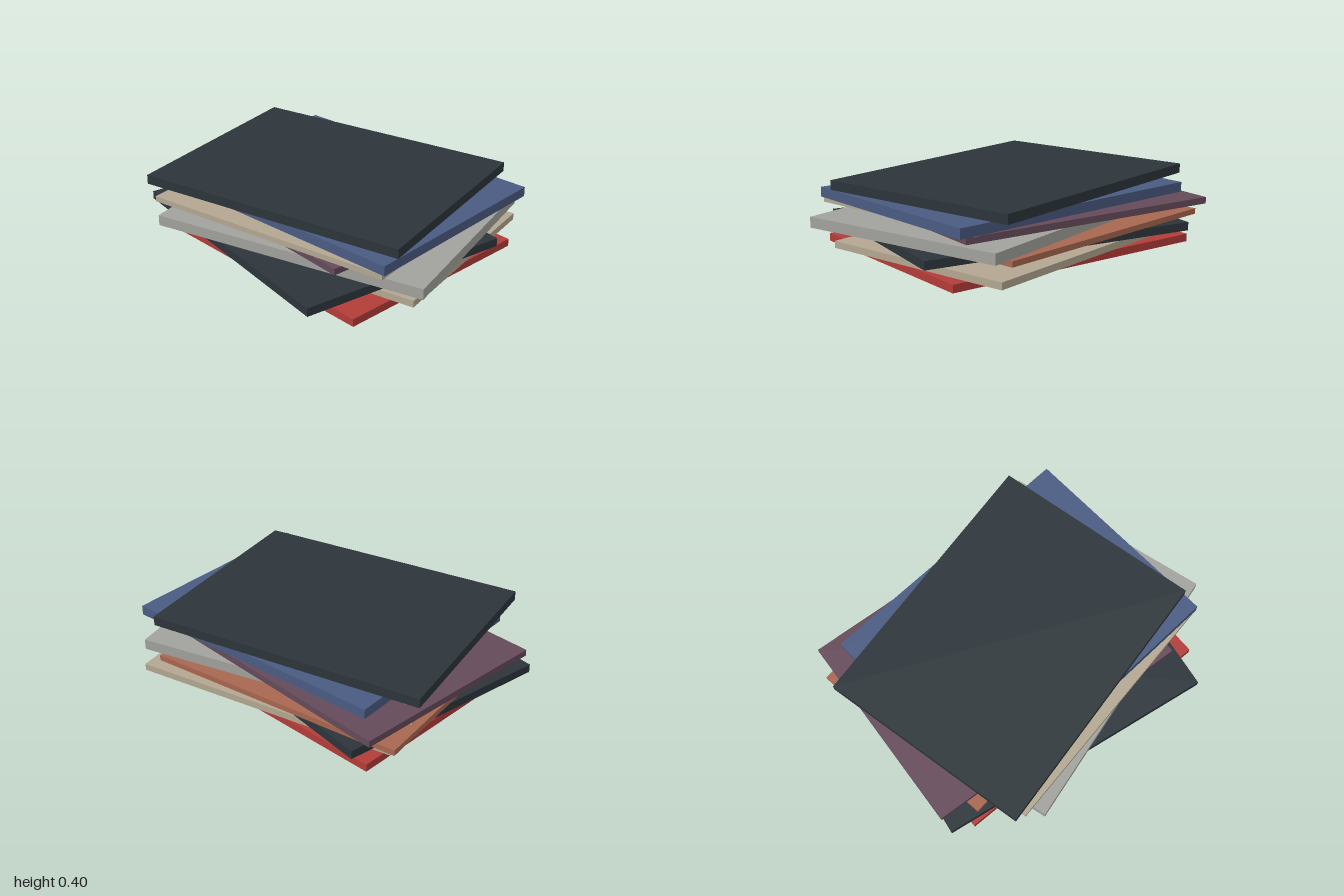
import * as THREE from 'three';

// One flat colour per kind of slab
const colours = {
  red: 0xb23c38, beige: 0xb3a792, charcoal: 0x2c353a, copper: 0xa8674f,
  grey: 0xa1a19d, plum: 0x654a59, blue: 0x4a5b82,
};

// Stack from bottom to top: name, colour, width, depth, top height, centre x, centre z, turn
const slabs = [
  ['redSlab', 'red', 1.237, 1.617, 0.044, 0.05, -0.006, -0.105],
  ['lowerBeigeSlab', 'beige', 1.182, 1.56, 0.083, 0.126, 0.048, 0.122],
  ['lowerCharcoalSlab', 'charcoal', 1.268, 1.633, 0.131, -0.014, -0.052, -0.246],
  ['copperSlab', 'copper', 1.163, 1.535, 0.163, 0.16, -0.083, 0.05],
  ['greySlab', 'grey', 1.237, 1.619, 0.223, 0.019, 0.088, 0.191],
  ['plumSlab', 'plum', 1.202, 1.6, 0.26, 0.104, -0.116, -0.157],
  ['upperBeigeSlab', 'beige', 1.144, 1.512, 0.291, -0.045, 0.027, 0.087],
  ['blueSlab', 'blue', 1.221, 1.601, 0.346, 0.085, 0.067, -0.035],
  ['topCharcoalSlab', 'charcoal', 1.237, 1.611, 0.4, 0.05, -0.032, 0.139],
];

export function createModel() {
  const group = new THREE.Group();
  group.name = 'slabStack';

  const materials = {};
  for (const [name, color] of Object.entries(colours)) {
    materials[name] = new THREE.MeshStandardMaterial({ color });
    materials[name].name = name;
  }

  // Each slab rests on the one below
  let bottom = 0;
  for (const [name, colour, width, depth, top, x, z, turn] of slabs) {
    const slab = new THREE.Mesh(new THREE.BoxGeometry(width, top - bottom, depth), materials[colour]);
    slab.name = name;
    slab.position.set(x, (bottom + top) / 2, z);
    slab.rotation.y = turn;
    group.add(slab);
    bottom = top;
  }
  return group;
}
